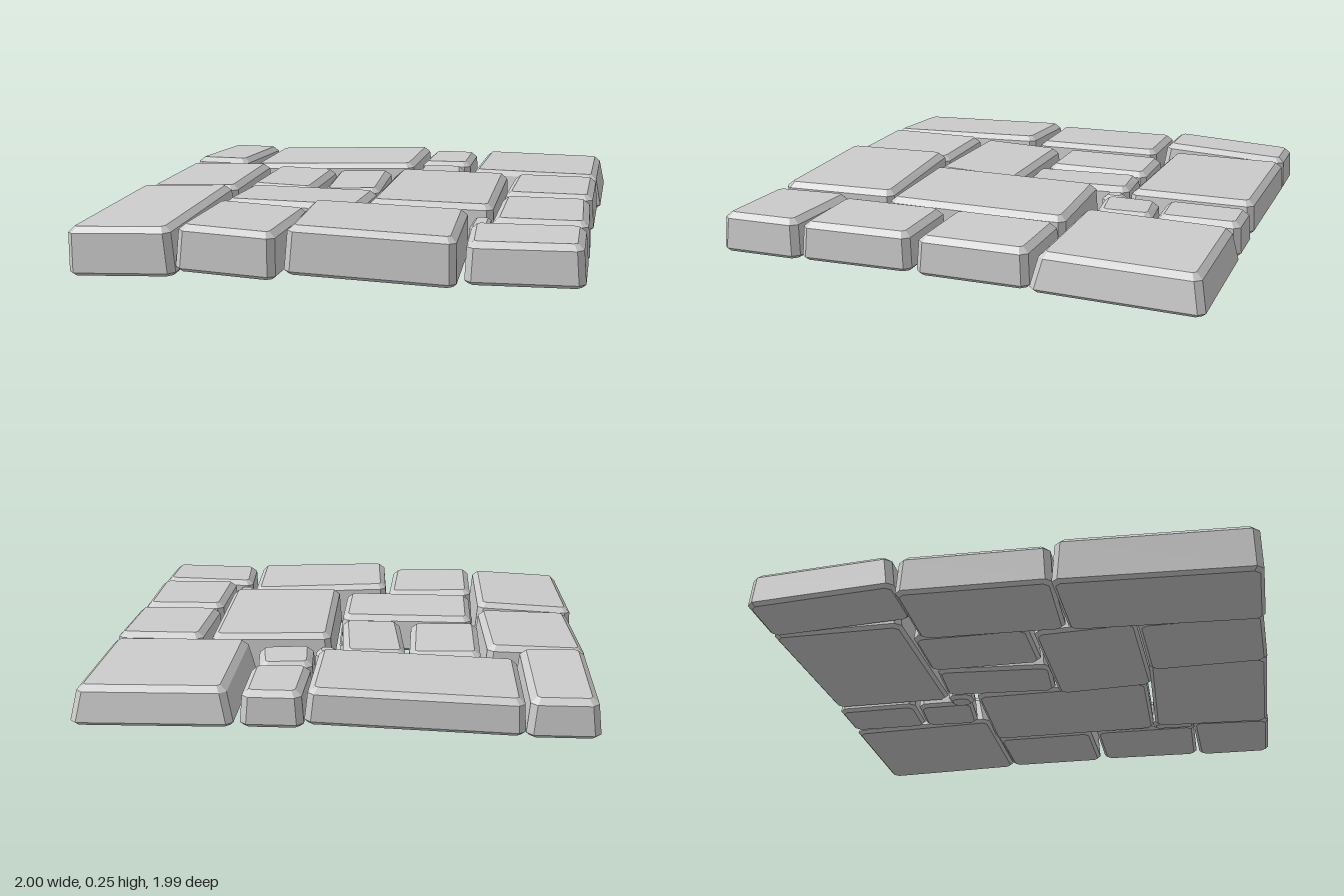
import * as THREE from 'three';

const material = new THREE.MeshStandardMaterial({ color: 0xcccccc, flatShading: true });

// One bevelled slab: four plan corners (back left, back right, front right, front left),
// top height at its middle, thickness, slope along x and z, and taper of the sides.
function makeStone(corners, top, thick, sx = 0, sz = 0, taper = 0.008, bevel = 0.025) {
  const cx = corners.reduce((s, c) => s + c[0], 0) / 4;
  const cz = corners.reduce((s, c) => s + c[1], 0) / 4;

  // Octagonal cross-section: the plan drawn inwards with its corners cut
  const ring = (inset, cut, height) => {
    const quad = corners.map(([x, z]) =>
      new THREE.Vector2(x - Math.sign(x - cx) * inset, z - Math.sign(z - cz) * inset));
    const points = [];
    quad.forEach((p, i) => {
      for (const q of [quad[(i + 3) % 4], quad[(i + 1) % 4]]) {
        const v = q.clone().sub(p).setLength(cut).add(p);
        const lean = height - thick / 2;
        points.push([
          v.x - sx * lean,
          top - thick + height + sx * (v.x - cx) + sz * (v.y - cz),
          v.y - sz * lean,
        ]);
      }
    });
    return points;
  };

  const rings = [
    ring(0.014, bevel * 0.8, 0),
    ring(0, bevel, 0.014),
    ring(taper, bevel, thick - bevel * 0.9),
    ring(taper + bevel, bevel * 0.5, thick),
  ];
  const positions = [];
  const tri = (...pts) => pts.forEach((p) => positions.push(...p));
  for (let r = 0; r < 3; r++) {
    for (let i = 0; i < 8; i++) {
      const j = (i + 1) % 8;
      const [a, b, c, d] = [rings[r][i], rings[r][j], rings[r + 1][j], rings[r + 1][i]];
      tri(a, c, b);
      tri(a, d, c);
    }
  }
  for (let i = 1; i < 7; i++) {
    tri(rings[3][0], rings[3][i + 1], rings[3][i]);
    tri(rings[0][0], rings[0][i], rings[0][i + 1]);
  }
  const geometry = new THREE.BufferGeometry();
  geometry.setAttribute('position', new THREE.Float32BufferAttribute(positions, 3));
  geometry.computeVertexNormals();
  return new THREE.Mesh(geometry, material);
}

export function createModel() {
  const group = new THREE.Group();
  group.name = 'stonePaving';
  const add = (name, ...args) => {
    const stone = makeStone(...args);
    stone.name = name;
    group.add(stone);
  };

  // Back row
  add('backLeftStone', [[-.985, -.99], [-.71, -.99], [-.705, -.4], [-.99, -.4]], .22, .15, 0, .05, .012);
  add('backLongStone', [[-.71, -.99], [.11, -1], [.11, -.46], [-.71, -.45]], .217, .14, .04, 0);
  add('backSmallStone', [[.115, -.995], [.355, -.995], [.36, -.64], [.11, -.63]], .215, .14);
  add('innerSmallStone', [[.11, -.61], [.34, -.63], [.365, -.385], [.125, -.36]], .21, .14, 0, .03);
  add('backRightStone', [[.38, -1], [1, -1], [1, -.34], [.38, -.34]], .227, .15, -.01, .02, .025);

  // Middle of the paving
  add('leftStone', [[-.995, -.39], [-.58, -.4], [-.56, .2], [-.98, .215]], .22, .17, .03, 0);
  add('innerLeftStone', [[-.57, -.44], [-.26, -.44], [-.26, .045], [-.57, .04]], .205, .14, -.02, 0);
  add('innerNarrowStone', [[-.26, -.42], [.015, -.44], [.05, .05], [-.22, .07]], .205, .14, .03, 0);
  add('innerWideStone', [[-.55, .06], [.06, .065], [.06, .485], [-.55, .475]], .22, .16, 0, .03, .015);
  add('centreStone', [[.06, -.32], [.58, -.34], [.6, .44], [.075, .455]], .242, .165, -.01, .012);
  add('rightStone', [[.605, -.335], [.985, -.335], [.985, .125], [.6, .125]], .235, .155);
  add('lowerRightStone', [[.6, .155], [.975, .15], [.99, .62], [.605, .63]], .235, .155);

  // Front row
  add('frontLeftStone', [[-1, .215], [-.56, .215], [-.56, .99], [-1, .99]], .222, .193, .05, -.03);
  add('frontInnerStone', [[-.555, .485], [-.145, .495], [-.155, .99], [-.555, .98]], .226, .182, -.035, 0);
  add('frontWideStone', [[-.145, .49], [.505, .455], [.53, .98], [-.12, .99]], .245, .188, -.03, 0);
  add('frontRightStone', [[.53, .63], [.985, .635], [.99, .98], [.555, .985]], .23, .16, .02, 0);

  // Filler chips in the gaps
  add('pebble', [[.025, -.445], [.125, -.445], [.125, -.34], [.025, -.34]], .2, .14, 0, 0, .004, .022);
  add('sliver', [[.52, .44], [.595, .44], [.6, .635], [.52, .635]], .2, .13, 0, 0, .004, .012);

  return group;
}
